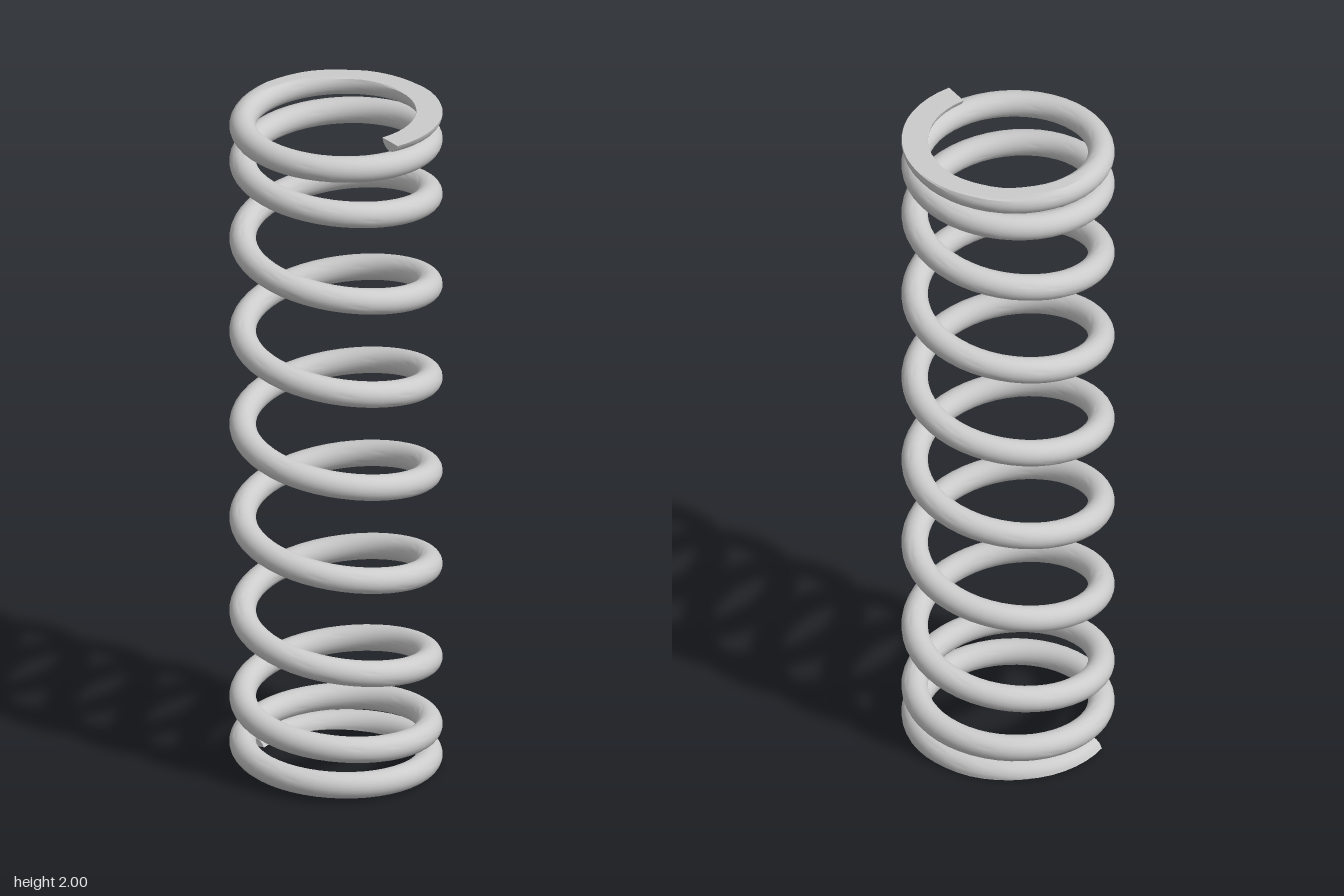
import * as THREE from 'three';
import { ParametricGeometry } from 'three/addons/geometries/ParametricGeometry.js';
import { toCreasedNormals } from 'three/addons/utils/BufferGeometryUtils.js';

const HEIGHT = 2;
const COIL_RADIUS = 0.2625;
const WIRE_RADIUS = 0.0375;
const TURNS = 9.578;
const END_PITCH = 0.08;    // nearly closed coils at both ends
const MID_PITCH = 0.286;   // open coils in the middle
const CLOSED = 1;          // closed turns at each end
const RAMP = 1.5;          // turns over which the pitch opens up

// Climb of the wire, measured from one end to the middle (t in turns)
function climb(t) {
  const r = THREE.MathUtils.clamp(t - CLOSED, 0, RAMP);
  const open = Math.max(t - CLOSED - RAMP, 0);
  const gain = MID_PITCH - END_PITCH;
  return END_PITCH * t + gain * (r * r / (2 * RAMP) + open);
}

// Height of the wire's centre; the upper half repeats the lower half reversed
function wireHeight(t) {
  const half = climb(TURNS / 2);
  return HEIGHT / 2 + (t < TURNS / 2 ? climb(t) - half : half - climb(TURNS - t));
}

function createSpringGeometry() {
  const steps = 460;
  const slices = steps + 2; // one extra row at each end closes the wire
  const sides = 24;
  const radial = new THREE.Vector3();
  const tangent = new THREE.Vector3();
  const up = new THREE.Vector3();

  const geometry = new ParametricGeometry((u, v, target) => {
    const row = Math.round(u * slices);
    const t = TURNS * THREE.MathUtils.clamp(row - 1, 0, steps) / steps;
    const radius = row === 0 || row === slices ? 0 : WIRE_RADIUS;
    const angle = t * Math.PI * 2;
    const a = -v * Math.PI * 2;

    // Frame of the wire's cross-section
    radial.set(-Math.cos(angle), 0, -Math.sin(angle));
    const slope = (wireHeight(t + 0.01) - wireHeight(t - 0.01)) / 0.02;
    tangent.set(Math.sin(angle), slope / (Math.PI * 2 * COIL_RADIUS), -Math.cos(angle)).normalize();
    up.crossVectors(radial, tangent);
    if (up.y < 0) up.negate();

    target.copy(radial).multiplyScalar(COIL_RADIUS + radius * Math.cos(a));
    target.addScaledVector(up, radius * Math.sin(a));
    // Both ends are ground flat
    target.y = THREE.MathUtils.clamp(target.y + wireHeight(t), 0, HEIGHT);
  }, slices, sides);

  return toCreasedNormals(geometry, 0.5);
}

export function createModel() {
  const group = new THREE.Group();
  group.name = 'compressionSpring';
  const coil = new THREE.Mesh(
    createSpringGeometry(),
    new THREE.MeshStandardMaterial({ color: 0xcccccc })
  );
  coil.name = 'coiledWire';
  group.add(coil);
  return group;
}
